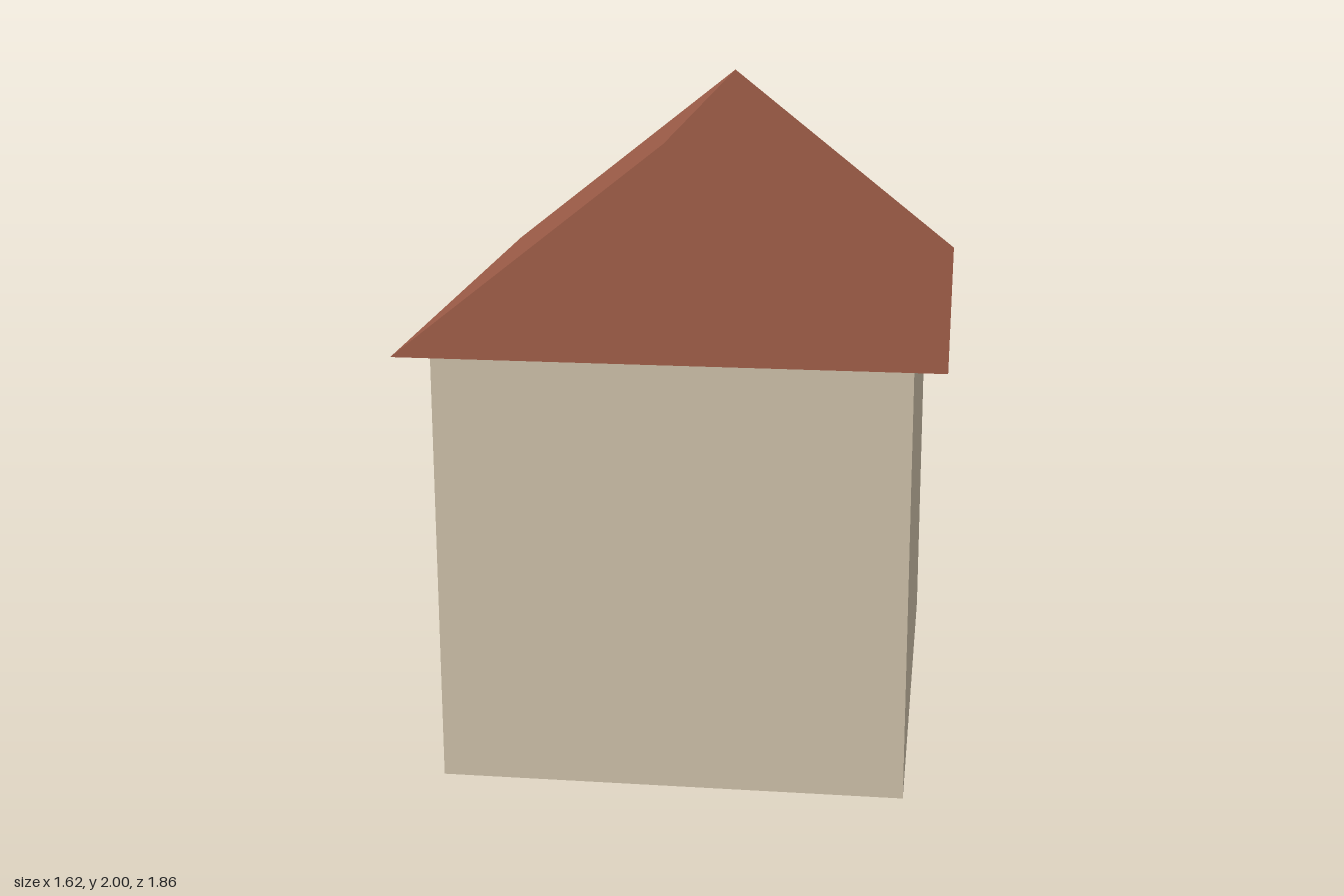
import * as THREE from 'three';

const material = (name, color) => {
  const m = new THREE.MeshStandardMaterial({ color });
  m.name = name;
  return m;
};

export function createModel() {
  const house = new THREE.Group();
  house.name = 'house';

  const wallPaint = material('beige wall', 0xc9bca5);
  const roofTile = material('terracotta roof', 0x9d5c47);
  const doorPaint = material('green door', 0x51786c);
  const windowGlass = material('slate window', 0x565f6c);

  const add = (name, geometry, mat, x, y, z) => {
    const mesh = new THREE.Mesh(geometry, mat);
    mesh.name = name;
    mesh.position.set(x, y, z);
    house.add(mesh);
  };

  // Walls
  const halfWidth = 0.713, eaves = 1.36;
  add('walls', new THREE.BoxGeometry(halfWidth * 2, eaves, 1.69), wallPaint, 0, eaves / 2, 0);

  // Gabled roof: a solid triangular prism overhanging the walls
  const gable = new THREE.Shape([
    new THREE.Vector2(-0.81, eaves),
    new THREE.Vector2(0.81, eaves),
    new THREE.Vector2(0, 2),
  ]);
  const roofLength = 1.86;
  const roof = new THREE.ExtrudeGeometry(gable, { depth: roofLength, bevelEnabled: false });
  add('roof', roof, roofTile, 0, 0, -roofLength / 2);

  // Door and windows stand proud of the -x wall
  const proud = 0.027;
  const addPanel = (name, mat, bottom, top, z, width) =>
    add(name, new THREE.BoxGeometry(proud, top - bottom, width), mat,
      -halfWidth - proud / 2, (bottom + top) / 2, z);

  addPanel('door', doorPaint, 0, 0.68, 0.365, 0.35);
  addPanel('lowerWindow', windowGlass, 0.42, 0.73, -0.49, 0.32);
  addPanel('upperWindow', windowGlass, 0.97, 1.21, 0.365, 0.32);

  return house;
}
